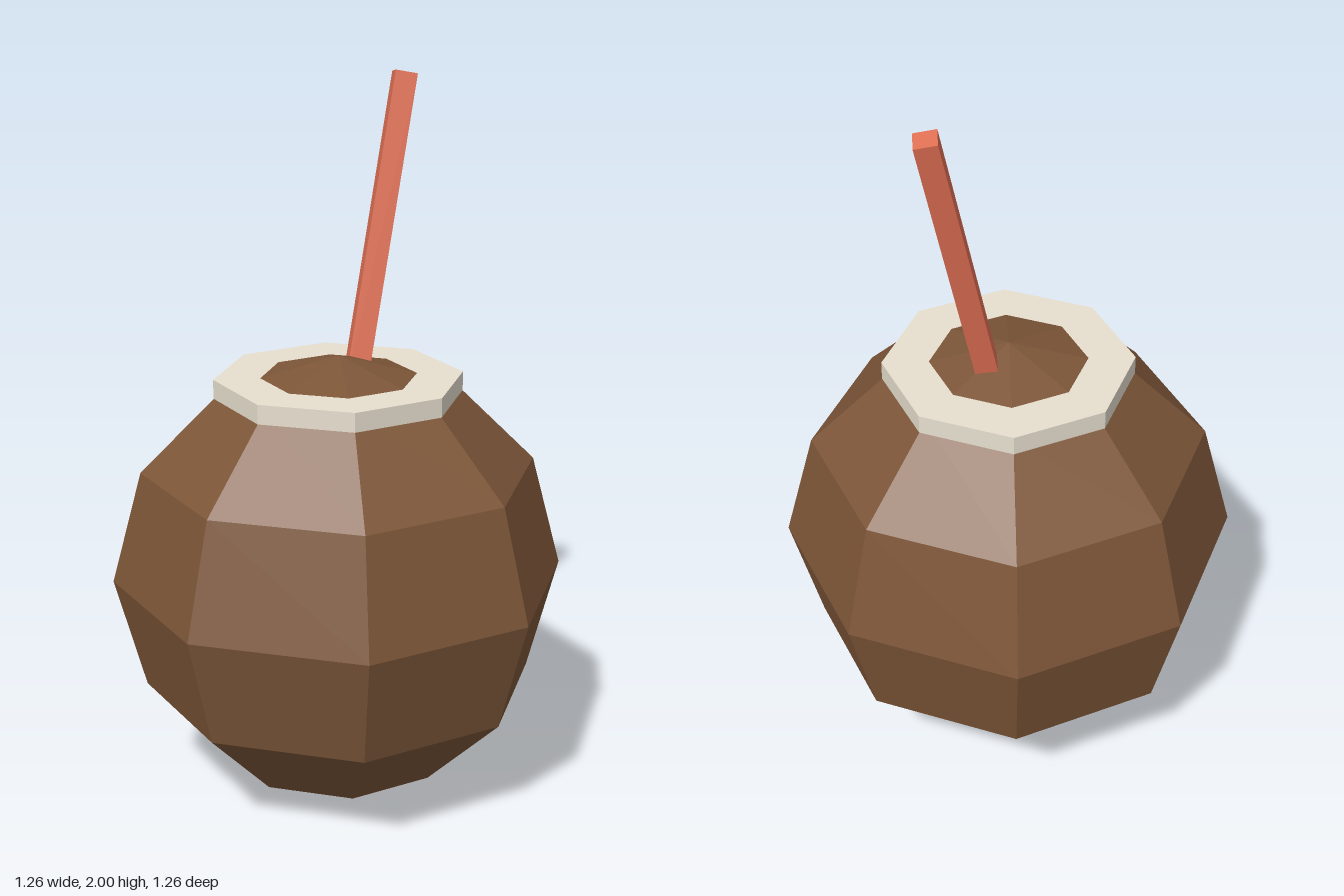
import * as THREE from 'three';

function material(name, color) {
  const m = new THREE.MeshStandardMaterial({ color });
  m.name = name;
  m.flatShading = true;
  return m;
}

export function createModel() {
  const model = new THREE.Group();
  model.name = 'coconutDrink';

  const add = (name, geometry, mat, x, y) => {
    const mesh = new THREE.Mesh(geometry, mat);
    mesh.name = name;
    mesh.position.set(x, y, 0);
    model.add(mesh);
    return mesh;
  };

  // Faceted coconut; its tip pokes through the rim disc
  const R = 0.63;
  add('shell', new THREE.SphereGeometry(R, 8, 6), material('coconutBrown', 0x7d5638), 0, R);

  // Pale octagonal rim around the opening
  add('rim', new THREE.CylinderGeometry(0.342, 0.342, 0.053, 8), material('coconutCream', 0xe8e0d0), 0, 1.176);

  // Square straw leaning to the model's left, sunk into the shell
  const tilt = 0.26;
  const length = 0.88;
  const straw = add(
    'straw',
    new THREE.CylinderGeometry(0.043, 0.043, length, 4),
    material('strawCoral', 0xe07054),
    0.289 - Math.sin(tilt) * length / 2,
    1.989 - Math.cos(tilt) * length / 2
  );
  straw.rotation.z = -tilt;

  return model;
}
